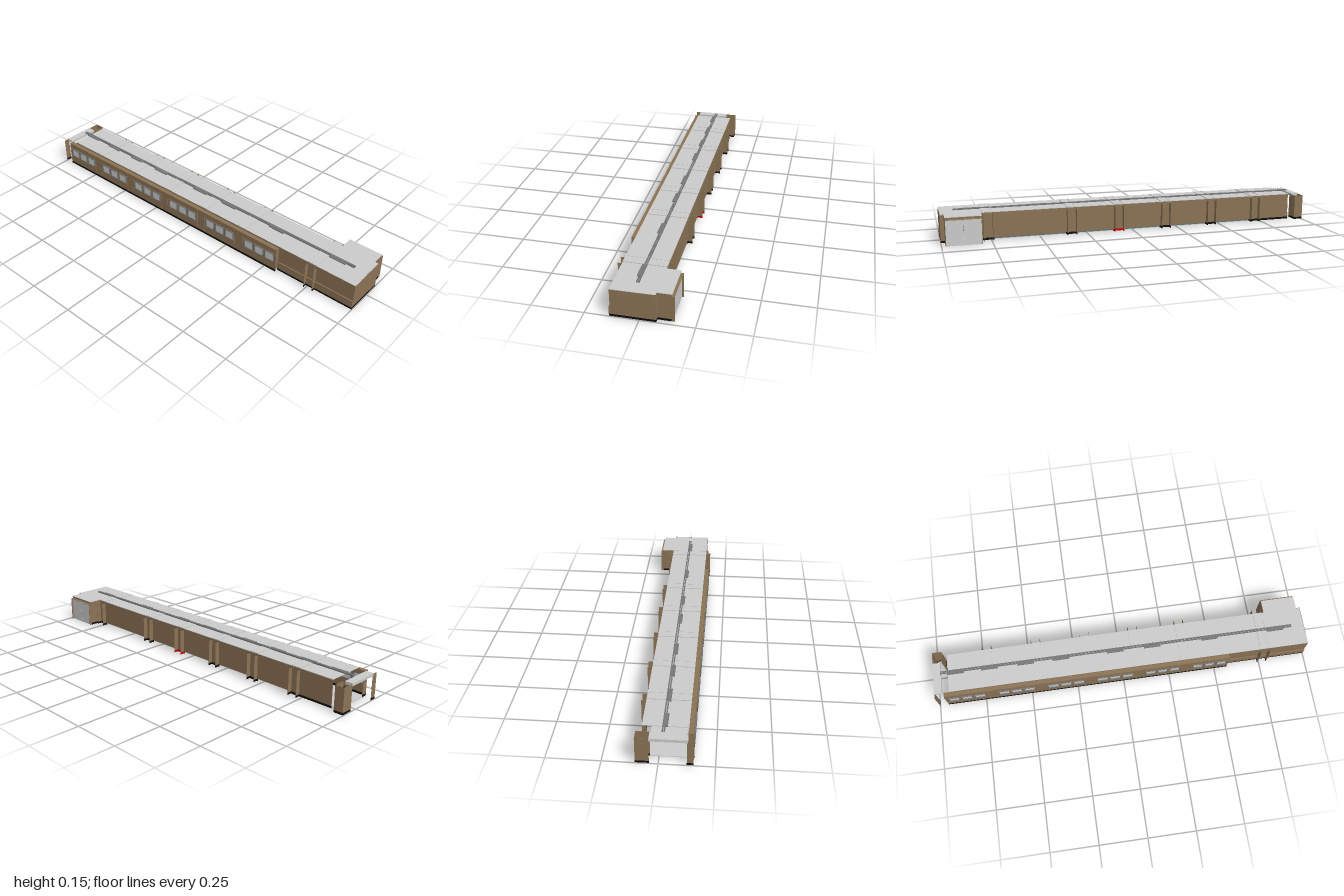
import * as THREE from 'three';

export function createModel() {
  const root = new THREE.Group();
  const mat = (color) => new THREE.MeshStandardMaterial({ color, side: THREE.DoubleSide, flatShading: true });
  const brown = mat(0x8b7355), black = mat(0x0c0c0c), grey = mat(0xcccccc);
  const red = mat(0xcc0000), teal = mat(0xa9c8cc), dark = mat(0x777777);

  // Box given by its lower and upper corner
  function box(name, m, x0, x1, y0, y1, z0, z1, parent = root) {
    const mesh = new THREE.Mesh(new THREE.BoxGeometry(x1 - x0, y1 - y0, z1 - z0), m);
    mesh.position.set((x0 + x1) / 2, (y0 + y1) / 2, (z0 + z1) / 2);
    mesh.name = name;
    parent.add(mesh);
    return mesh;
  }
  const T = 0.002;                 // sheet thickness
  const L = -0.13, R = 0.077;      // hall side walls
  const BASE = 0.014, TOP = 0.147;

  // Floor and ceiling, open at the back
  box('floor', grey, L, 0.055, 0, 0.003, -0.95, 1);
  box('alcoveFloor', grey, 0.055, 0.14, 0, 0.003, 0.8, 0.98);
  box('ceiling', grey, L, R, TOP - 0.003, TOP, -0.92, 1);
  box('alcoveCeiling', grey, R, 0.145, TOP - 0.003, TOP, 0.8, 0.98);

  // Front wall with black skirting
  box('frontWall', brown, L, R, BASE, TOP, 1 - T, 1);
  box('frontSkirting', black, L, R, 0.003, BASE, 1 - T, 1);
  box('frontReturn', brown, R - T, R, BASE, TOP, 0.98, 1);
  box('frontReturnSkirting', black, R - T, R, 0.003, BASE, 0.98, 1);

  // Plain wall with a sloping light strip below it
  box('rightWall', brown, R - T, R, BASE, TOP - 0.003, -0.92, 0.8);
  const strip = new THREE.Mesh(new THREE.PlaneGeometry(0.026, 1.49), teal);
  strip.name = 'lightStrip';
  strip.geometry.rotateX(-Math.PI / 2);
  strip.geometry.rotateZ(Math.atan2(0.012, 0.022));
  strip.position.set(0.065, 0.008, 0.055);
  root.add(strip);
  box('rightSkirting', black, R - T, R, 0.003, BASE, -0.92, -0.69);

  // Door alcove
  const alcove = new THREE.Group();
  alcove.name = 'doorAlcove';
  root.add(alcove);
  for (const z of [0.8, 0.978]) {
    box('alcoveWall', brown, R, 0.14, BASE, TOP - 0.003, z, z + T, alcove);
    box('alcoveSkirting', black, R, 0.14, 0.003, BASE, z, z + T, alcove);
    box('doorJamb', brown, 0.14, 0.155, 0.003, 0.132, z, z + T, alcove);
  }
  box('doorLintel', brown, 0.14, 0.155, 0.132, 0.134, 0.8, 0.98, alcove);
  box('doorHeader', brown, 0.138, 0.141, 0.132, TOP - 0.003, 0.8, 0.98, alcove);
  for (const z of [0.802, 0.8905]) box('doorLeaf', grey, 0.143, 0.146, 0.003, 0.132, z, z + 0.087, alcove);

  // Left wall and its low wainscot near the front
  box('leftWall', brown, L, L + T, BASE, TOP - 0.003, 0.57, 1);
  box('leftSkirting', black, L - 0.005, L, 0.003, BASE, 0.57, 1);
  box('wainscot', brown, L - 0.006, L, BASE, 0.053, 0.57, 1);
  box('leftUpperWall', brown, L, L + T, 0.135, TOP - 0.003, -0.92, 0.57);

  // Window gallery standing out from the left wall
  const gallery = new THREE.Group();
  gallery.name = 'windowGallery';
  root.add(gallery);
  const O = -0.152;
  box('galleryLowerWall', brown, O, O + T, BASE, 0.058, -0.95, 0.57, gallery);
  box('galleryUpperWall', brown, O, O + T, 0.108, 0.137, -0.95, 0.57, gallery);
  box('galleryTop', brown, O, L + T, 0.135, 0.137, -0.95, 0.57, gallery);
  box('galleryEnd', brown, O, L, BASE, 0.137, 0.568, 0.57, gallery);
  box('gallerySkirting', black, O - 0.001, O + T, 0.003, BASE, -0.95, 0.57, gallery);
  box('galleryFloor', grey, O, L, 0.001, 0.003, -0.95, 0.57, gallery);

  // Arches: paired fins at both walls, joined by a ribbed beam over the ceiling
  const arches = [-0.975, -0.71, -0.447, -0.182, 0.08, 0.335, 0.765];
  function fin(name, x0, x1, z, base) {
    box(name, brown, x0, x1, BASE, 0.137, z - 0.0008, z + 0.0008);
    box(name + 'Skirting', base, x0, x1, 0.003, BASE, z - 0.0008, z + 0.0008);
  }
  arches.forEach((z, i) => {
    const end = i === 0, base = i === 4 ? red : black;
    for (const s of [-0.024, 0.024]) {
      fin('rightFin', end ? 0.04 : R, 0.102, z + s, base);
      fin('leftFin', end ? -0.155 : -0.154, end ? -0.125 : L, z + s, black);
      if (!end) box('ceilingRib', grey, L, R, TOP, 0.1505, z + s - 0.002, z + s + 0.002);
    }
    if (!end) {
      box('ceilingBeam', grey, L, R, TOP, 0.149, z - 0.024, z + 0.024);
      box('rightFinSkirting', base, R - T, R + 0.001, 0.003, BASE, z - 0.03, z + 0.03);
    }
  });

  // Three windows in every gallery bay
  for (let i = 0; i < 6; i++) {
    const z0 = Math.max(arches[i] + 0.03, -0.95);
    const z1 = i === 5 ? 0.56 : arches[i + 1] - 0.03;
    const step = (z1 - z0) / 3;
    box('bayPier', brown, O, O + T, 0.058, 0.108, z1, Math.min(z1 + 0.06, 0.57), gallery);
    for (let k = 0; k < 3; k++) {
      const a = z0 + k * step;
      box('windowPost', brown, O - 0.002, O + T, 0.058, 0.108, a, a + 0.008, gallery);
      box('windowPane', grey, O, O + 0.001, 0.062, 0.104, a + 0.012, a + step - 0.006, gallery);
      for (const y of [0.058, 0.104])
        box('windowRail', dark, O - 0.005, O + T, y, y + 0.004, a + 0.008, a + step, gallery);
      for (const z of [a + 0.008, a + step - 0.004])
        box('windowStile', dark, O - 0.005, O + T, 0.058, 0.108, z, z + 0.004, gallery);
    }
  }

  // Lintel over the open back end
  box('backLintel', grey, -0.13, 0.04, 0.125, 0.14, -1, -0.96);
  box('backPanel', brown, 0.1, 0.102, BASE, 0.137, -1, -0.951);
  box('backPanelSkirting', black, 0.1, 0.102, 0.003, BASE, -1, -0.951);

  // Service rail with fittings along the ceiling
  for (const x of [-0.028, -0.019]) box('ceilingRail', dark, x, x + 0.006, TOP, 0.153, -0.96, 0.93);
  for (const z of [-0.88, -0.7, -0.51, -0.32, -0.03, 0.17, 0.48, 0.84])
    box('railFitting', dark, -0.037, -0.013, TOP, 0.152, z - 0.045, z + 0.045);

  return root;
}
